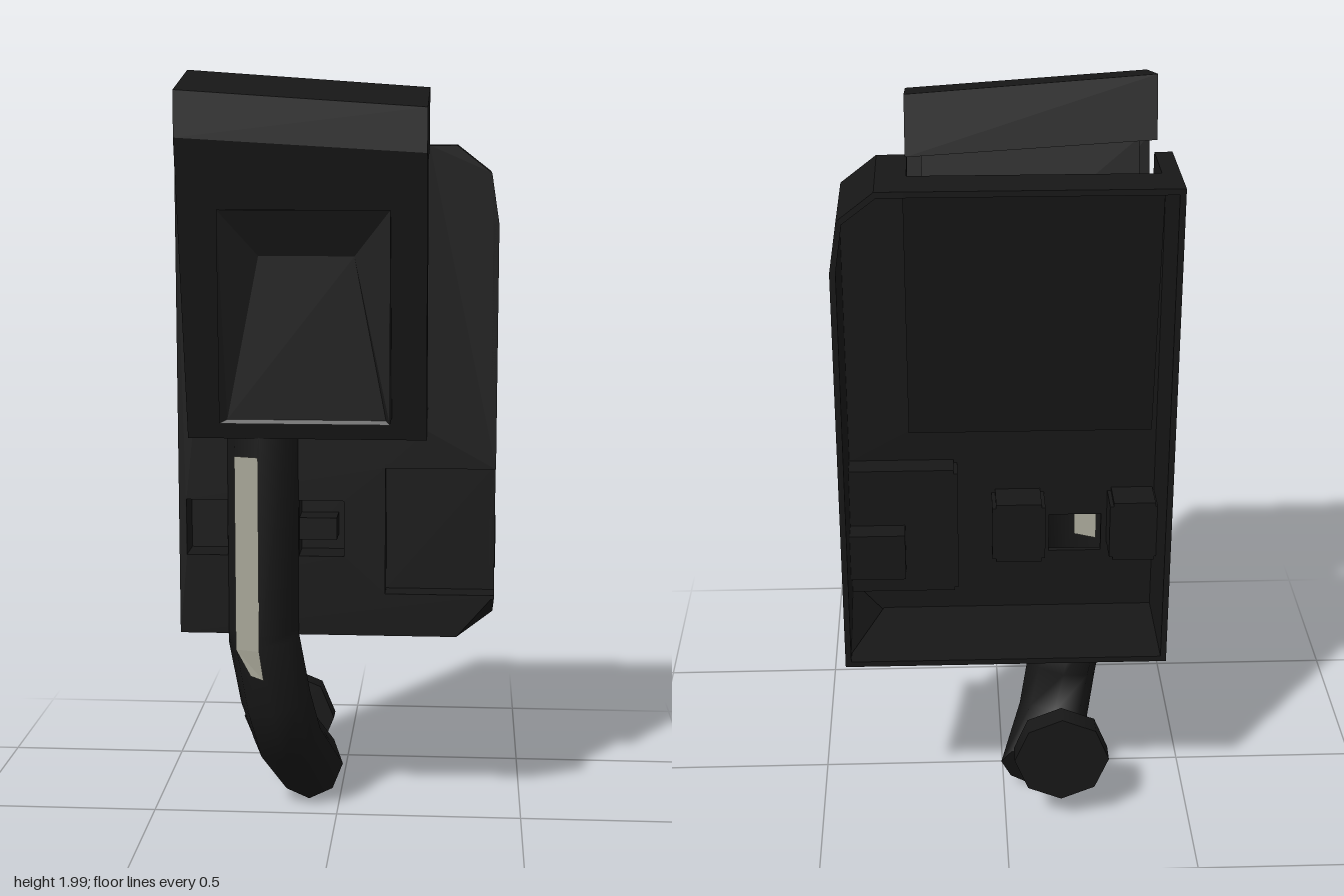
import * as THREE from 'three';

const dark = new THREE.MeshStandardMaterial({ color: 0x171717, side: THREE.DoubleSide });
dark.name = 'charcoal';
const pale = new THREE.MeshStandardMaterial({ color: 0xa6a597, side: THREE.DoubleSide });
pale.name = 'pale stripe';

const T = 0.015; // sheet thickness

function part(parent, name, geometry, material = dark) {
  const mesh = new THREE.Mesh(geometry, material);
  mesh.name = name;
  parent.add(mesh);
  return mesh;
}

// Box given by its limits on each axis
function box(x0, x1, y0, y1, z0, z1) {
  return new THREE.BoxGeometry(x1 - x0, y1 - y0, z1 - z0)
    .translate((x0 + x1) / 2, (y0 + y1) / 2, (z0 + z1) / 2);
}

const shapeOf = (pts) => new THREE.Shape(pts.map(([a, b]) => new THREE.Vector2(a, b)));
const rect = (x0, x1, y0, y1) => [[x0, y0], [x1, y0], [x1, y1], [x0, y1]];

// Upright plate facing z, with optional holes
function plate(pts, z0, depth, holes = []) {
  const shape = shapeOf(pts);
  holes.forEach((h) => shape.holes.push(shapeOf(h)));
  return new THREE.ExtrudeGeometry(shape, { depth, bevelEnabled: false }).translate(0, 0, z0);
}

// Profile of [z, y] points extruded across x
function profile(pts, x0, x1) {
  return new THREE.ExtrudeGeometry(shapeOf(pts), { depth: x1 - x0, bevelEnabled: false })
    .rotateY(-Math.PI / 2).translate(x1, 0, 0);
}

// Faceted surface from quads of four points
function quads(list) {
  const pos = [];
  for (const [a, b, c, d] of list) pos.push(...a, ...b, ...c, ...a, ...c, ...d);
  const g = new THREE.BufferGeometry();
  g.setAttribute('position', new THREE.Float32BufferAttribute(pos, 3));
  g.computeVertexNormals();
  return g;
}

// Four walls of a pocket let into the front; the right wall may be left open
function pocketWalls(parent, name, x0, x1, y0, y1, z0, z1, openRight = false) {
  part(parent, name + 'Top', box(x0, x1, y1, y1 + 0.01, z0, z1));
  part(parent, name + 'Bottom', box(x0, x1, y0 - 0.01, y0, z0, z1));
  part(parent, name + 'LeftWall', box(x0 - 0.01, x0, y0, y1, z0, z1));
  if (!openRight) part(parent, name + 'RightWall', box(x1, x1 + 0.01, y0, y1, z0, z1));
}

function buildHousing() {
  const g = new THREE.Group();
  g.name = 'housing';
  const back = -0.28, front = 0.01;
  const cradles = [[-0.4, -0.29], [-0.1, 0.02]];
  const holes = cradles.map(([a, b]) => rect(a, b, 0.73, 0.88));
  holes.push(rect(-0.265, -0.125, 0.7, 0.81)); // opening behind the handle
  // Front sheet with the open hatch, the side notch and the cradle pockets
  part(g, 'frontPanel', plate([
    [-0.42, 0.515], [0.32, 0.515], [0.42, 0.63], [0.13, 0.63], [0.13, 0.97], [0.42, 0.97],
    [0.42, 1.61], [0.4, 1.74], [0.31, 1.81], [0.24, 1.81], [0.24, 1.07], [-0.38, 1.07],
    [-0.38, 1.81], [-0.42, 1.81],
  ], front - T, T, holes));
  // Outer walls; the back is open
  part(g, 'rightHandWall', box(-0.42, -0.42 + T, 0.515, 1.81, back, front));
  part(g, 'bottomWall', plate([[-0.42, back], [0.42, back], [0.32, front], [-0.42, front]], -T, T)
    .rotateX(Math.PI / 2).translate(0, 0.515, 0));
  part(g, 'leftHandWall', profile([
    [back, 0.515], [front, 0.63], [-0.06, 0.63], [-0.06, 0.97], [front, 0.97], [front, 1.61], [back, 1.61],
  ], 0.42 - T, 0.42));
  // Sliced-off lower front corner
  part(g, 'cutCorner', quads([[
    [0.32, 0.515, front], [0.42, 0.515, back], [0.42, 0.5725, -0.135], [0.42, 0.63, front],
  ]]));
  part(g, 'chamferedCorner', plate([
    [0.42, 1.61], [0.4, 1.74], [0.31, 1.81], [0.24, 1.81], [0.24, 1.795], [0.305, 1.795],
    [0.387, 1.732], [0.405, 1.61],
  ], back, front - back));
  part(g, 'topRim', box(-0.42, 0.24, 1.81 - T, 1.81, back, -0.17));
  part(g, 'topEdge', box(-0.42, -0.38, 1.81 - T, 1.81, -0.17, front));

  // Hatch well, its back sloping forward towards the bottom
  const well = [[front, 1.07], [front, 1.81], [-0.17, 1.81], [-0.07, 1.09]];
  part(g, 'wellLeftSide', profile(well, 0.235, 0.245));
  part(g, 'wellRightSide', profile(well, -0.385, -0.375));
  part(g, 'wellBack', profile(
    [[-0.17, 1.81], [-0.07, 1.09], [front, 1.07], [front, 1.08], [-0.06, 1.1], [-0.16, 1.81]], -0.38, 0.24));

  // Notch open to the side, with a block behind its floor
  part(g, 'notchFloor', box(0.13, 0.42, 0.63, 0.97, -0.07, -0.06));
  pocketWalls(g, 'notch', 0.13, 0.42, 0.63, 0.97, -0.07, front, true);
  part(g, 'notchBlock', box(0.26, 0.422, 0.69, 0.82, -0.13, -0.065));

  // Two cradle pockets either side of the handle, and the hook
  cradles.forEach(([a, b]) => {
    part(g, 'cradleFloor', box(a, b, 0.73, 0.88, -0.1, -0.09));
    pocketWalls(g, 'cradle', a, b, 0.73, 0.88, -0.1, front);
  });
  part(g, 'cradleHook', box(-0.1, 0, 0.77, 0.83, -0.09, -0.01));
  return g;
}

function buildHatch() {
  const g = new THREE.Group();
  g.name = 'hatch';
  // Leaning door with an overhanging top lip
  part(g, 'door', profile([
    [0.1, 1.06], [0.285, 1.83], [0.28, 1.945], [0.03, 2.0], [-0.005, 1.845], [0.165, 1.81], [0.01, 1.07],
  ], -0.38, 0.24));
  // Narrower box behind the door
  part(g, 'doorInner', profile([
    [0.02, 1.08], [0.17, 1.82], [0.03, 1.845], [-0.065, 1.42], [-0.04, 1.16],
  ], -0.34, 0.2));
  // Top edge drops slightly towards one side
  g.children.forEach((m) => {
    const p = m.geometry.attributes.position;
    for (let i = 0; i < p.count; i++) {
      const k = Math.max(0, p.getY(i) - 1.06) / 0.94;
      p.setY(i, p.getY(i) - k * 0.072 * (p.getX(i) + 0.38));
    }
    m.geometry.computeVertexNormals();
  });

  // Raised pad whose face slopes in to a shallow tapered scoop
  const at = (x, y, dz = 0) => [x, y, 0.24 + (y - 1.12) * 0.037 + dz];
  const outer = [at(-0.28, 1.12), at(0.15, 1.12), at(0.15, 1.655), at(-0.28, 1.655)];
  const floor = [at(-0.26, 1.13, -0.008), at(0.14, 1.13, -0.008), at(0.06, 1.54, -0.03), at(-0.18, 1.54, -0.03)];
  const root = outer.map(([x, y]) => [x, y, 0.08 + (y - 1.06) * 0.237]);
  const faces = [floor];
  for (let i = 0; i < 4; i++) {
    const j = (i + 1) % 4;
    faces.push([outer[i], outer[j], floor[j], floor[i]]);
    faces.push([root[i], root[j], outer[j], outer[i]]);
  }
  part(g, 'scoopPad', quads(faces));
  return g;
}

function buildHandle() {
  const g = new THREE.Group();
  g.name = 'handle';
  // Octagonal bar: a half shell against the housing above, whole and curling back below
  const path = [
    [-0.195, 1.07, 0.005], [-0.195, 0.53, 0.005], [-0.195, 0.5, 0.005],
    [-0.165, 0.335, 0], [-0.14, 0.215, -0.055], [-0.085, 0.095, -0.16],
  ].map((p) => new THREE.Vector3(...p));
  const N = 8, R = 0.096, last = path.length - 1;
  const rings = path.map((c, i) => {
    const t = new THREE.Vector3();
    if (i > 0) t.add(c.clone().sub(path[i - 1]).normalize());
    if (i < last) t.add(path[i + 1].clone().sub(c).normalize());
    if (i === last) t.set(0.25, -0.42, -0.87);
    t.normalize();
    const u = new THREE.Vector3(1, 0, 0).addScaledVector(t, -t.x).normalize();
    const v = u.clone().cross(t);
    return Array.from({ length: N }, (_, k) => {
      const a = (k / N) * Math.PI * 2;
      const p = c.clone().addScaledVector(u, R * Math.cos(a)).addScaledVector(v, R * Math.sin(a));
      if (i < 2) p.z = Math.max(p.z, 0.005);
      return p;
    });
  });
  const index = [];
  for (let i = 0; i < last; i++) {
    for (let k = i === 0 ? N / 2 : 0; k < N; k++) {
      const a = i * N + k, b = i * N + (k + 1) % N;
      index.push(a, a + N, b, b, a + N, b + N);
    }
  }
  const bar = new THREE.BufferGeometry();
  bar.setAttribute('position', new THREE.Float32BufferAttribute(rings.flat().flatMap((p) => p.toArray()), 3));
  bar.setIndex(index);
  bar.computeVertexNormals();
  part(g, 'handleBar', bar);
  // Blunt lower end
  const r = rings[last].map((p) => p.toArray());
  const c = path[last].toArray();
  part(g, 'handleEnd', quads([0, 2, 4, 6].map((k) => [c, r[k], r[k + 1], r[(k + 2) % N]])));

  // Pale strip along one facet of the bar, tapering at the bend
  const left = [[-0.262, 1.01, 0.084], [-0.262, 0.49, 0.084], [-0.222, 0.42, 0.093]];
  const right = [[-0.198, 1.01, 0.104], [-0.198, 0.49, 0.104], [-0.187, 0.41, 0.1]];
  part(g, 'handleStripe', quads([0, 1].map((i) => [left[i], left[i + 1], right[i + 1], right[i]])), pale);
  // Its inner face, seen through the opening behind
  part(g, 'handleStripeInner', quads([[
    [-0.258, 0.85, 0.062], [-0.2, 0.85, 0.088], [-0.2, 0.7, 0.088], [-0.258, 0.7, 0.062],
  ]]), pale);
  // Loose disc behind the curled end
  const disc = new THREE.CylinderGeometry(0.127, 0.127, 0.06, 8).rotateX(Math.PI / 2);
  part(g, 'endDisc', disc).position.set(-0.15, 0.21, -0.255);
  return g;
}

export function createModel() {
  const model = new THREE.Group();
  model.name = 'wallBox';
  model.add(buildHousing(), buildHatch(), buildHandle());
  return model;
}
